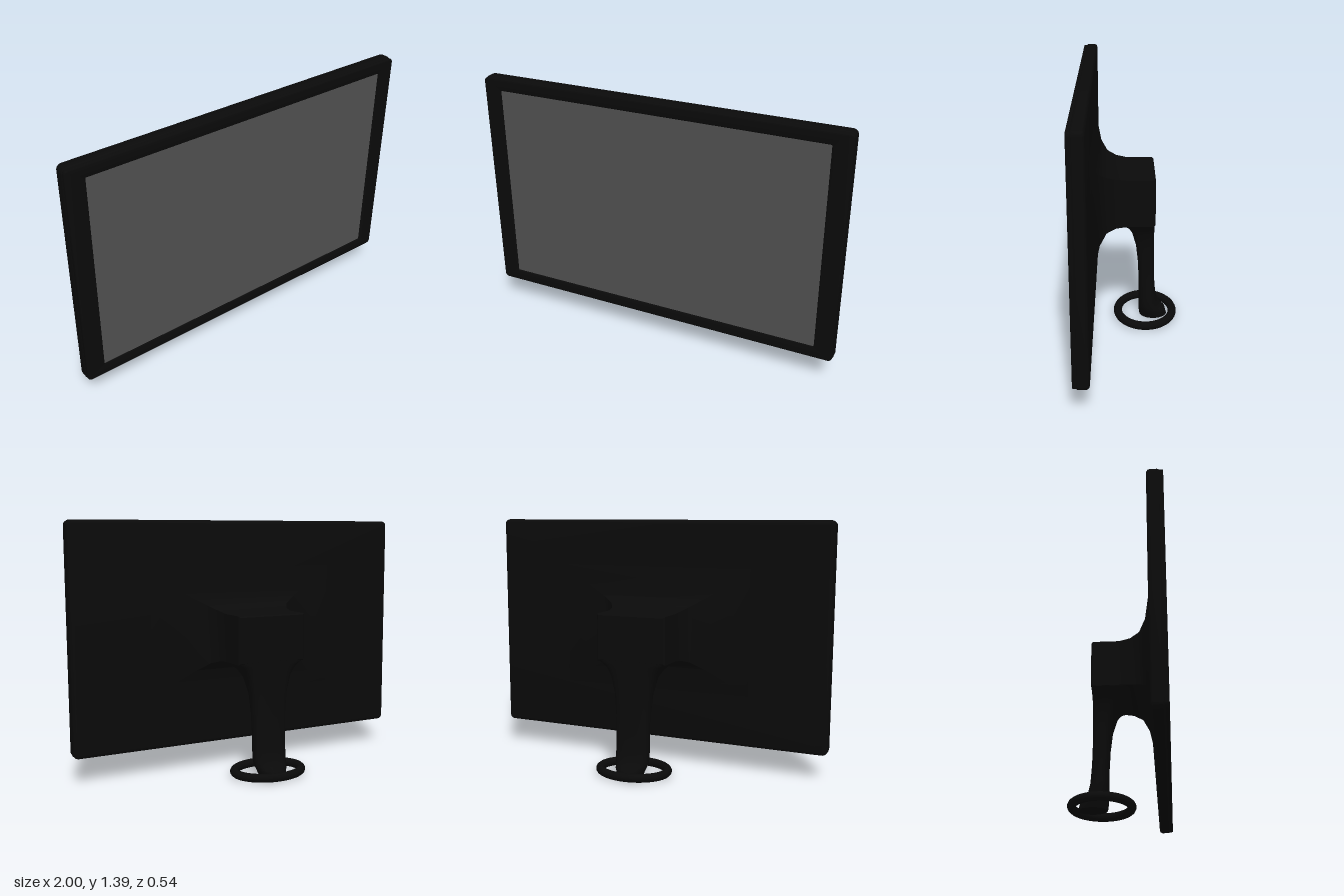
import * as THREE from 'three';
import { toCreasedNormals } from 'three/addons/utils/BufferGeometryUtils.js';

const black = new THREE.MeshStandardMaterial({ color: 0x0a0a0a });
const grey = new THREE.MeshStandardMaterial({ color: 0x505050 });

function part(parent, name, geometry, material = black) {
  const mesh = new THREE.Mesh(geometry, material);
  mesh.name = name;
  parent.add(mesh);
  return mesh;
}

// Skin over closed loops of points, capped at both ends
function loft(loops) {
  const n = loops[0].length, last = (loops.length - 1) * n, index = [];
  const points = loops.flat();
  const centre = (loop) => loop.reduce((s, p) => s.add(p), new THREE.Vector3()).divideScalar(n);
  const start = points.push(centre(loops[0])) - 1;
  const end = points.push(centre(loops[loops.length - 1])) - 1;
  for (let j = 0; j < n; j++) {
    const k = (j + 1) % n;
    for (let r = 0; r < last; r += n) {
      index.push(r + j, r + n + j, r + k, r + k, r + n + j, r + n + k);
    }
    index.push(start, j, k, end, last + k, last + j);
  }
  const geometry = new THREE.BufferGeometry().setFromPoints(points);
  geometry.setIndex(index);
  return toCreasedNormals(geometry, 0.7);
}

function roundedRect(Type, w, h, r) {
  const s = new Type();
  const x = w / 2 - r, y = h / 2 - r;
  s.absarc(x, y, r, 0, Math.PI / 2);
  s.absarc(-x, y, r, Math.PI / 2, Math.PI);
  s.absarc(-x, -y, r, Math.PI, Math.PI * 1.5);
  s.absarc(x, -y, r, Math.PI * 1.5, Math.PI * 2);
  s.closePath();
  return s;
}

export function createModel() {
  const model = new THREE.Group();
  model.name = 'monitor';

  // Display panel: rounded casing, front frame and slightly sunk screen
  const display = new THREE.Group();
  display.name = 'display';
  display.position.y = 0.767;
  model.add(display);

  const casing = new THREE.ExtrudeGeometry(roundedRect(THREE.Shape, 1.96, 1.206, 0.008), {
    depth: 0.034, bevelThickness: 0.018, bevelSize: 0.02, bevelSegments: 4, curveSegments: 4,
  });
  part(display, 'casing', toCreasedNormals(casing, 0.7)).position.z = 0.208;

  const frameShape = roundedRect(THREE.Shape, 1.984, 1.222, 0.016);
  frameShape.holes.push(roundedRect(THREE.Path, 1.81, 1.116, 0.01));
  const frame = new THREE.ExtrudeGeometry(frameShape, {
    depth: 0.014, bevelThickness: 0.006, bevelSize: 0.006, bevelSegments: 3, curveSegments: 4,
  });
  part(display, 'frame', toCreasedNormals(frame, 0.7)).position.z = 0.252;

  const screen = new THREE.ShapeGeometry(roundedRect(THREE.Shape, 1.82, 1.126, 0.01), 4);
  part(display, 'screen', screen, grey).position.z = 0.266;

  // Rear mount flaring from the block into the casing: z, half width, bottom, top
  const mount = [
    [0.2, 0.62, 0.4, 1.17], [0.19, 0.56, 0.43, 1.13], [0.178, 0.44, 0.5, 1.03],
    [0.155, 0.31, 0.57, 0.96], [0.12, 0.24, 0.61, 0.92], [0.07, 0.21, 0.625, 0.9],
    [0.01, 0.2, 0.63, 0.89], [-0.132, 0.2, 0.63, 0.89], [-0.14, 0.192, 0.638, 0.882],
  ];
  part(model, 'rearMount', loft(mount.map(([z, w, b, t]) =>
    [[w, b], [w, t], [-w, t], [-w, b]].map(([x, y]) => new THREE.Vector3(x, y, z)))));

  // Neck swelling into the mount and foot: y, half width, front z, back z, squareness
  const neck = [
    [0, 0.04, -0.1, -0.2, 2], [0.008, 0.07, -0.06, -0.215, 2], [0.045, 0.085, -0.055, -0.205, 2.1],
    [0.065, 0.092, -0.055, -0.18, 2.3], [0.09, 0.095, -0.055, -0.164, 2.6],
    [0.14, 0.095, -0.055, -0.151, 3], [0.24, 0.095, -0.055, -0.143, 3.2],
    [0.35, 0.098, -0.05, -0.14, 3.4], [0.46, 0.107, -0.038, -0.14, 3.6],
    [0.55, 0.13, -0.013, -0.14, 4], [0.59, 0.155, 0.008, -0.14, 4.5],
    [0.615, 0.18, 0.03, -0.14, 6], [0.628, 0.197, 0.075, -0.14, 9], [0.645, 0.2, 0.09, -0.14, 12],
  ];
  const bend = (v, e) => Math.sign(v) * Math.abs(v) ** (2 / e);
  part(model, 'neck', loft(neck.map(([y, w, front, back, e]) =>
    Array.from({ length: 40 }, (_, i) => {
      const a = (i / 40) * Math.PI * 2;
      return new THREE.Vector3(w * bend(Math.cos(a), e), y,
        (front + back) / 2 + (front - back) / 2 * bend(Math.sin(a), e));
    }))));

  // Oval ring foot
  const oval = Array.from({ length: 32 }, (_, i) => {
    const a = (i / 32) * Math.PI * 2;
    return new THREE.Vector3(0.192 * Math.cos(a), 0, 0.156 * Math.sin(a));
  });
  const ring = new THREE.TubeGeometry(new THREE.CatmullRomCurve3(oval, true), 64, 0.0235, 14, true);
  part(model, 'ringFoot', ring).position.set(0, 0.0275, -0.092);

  return model;
}
